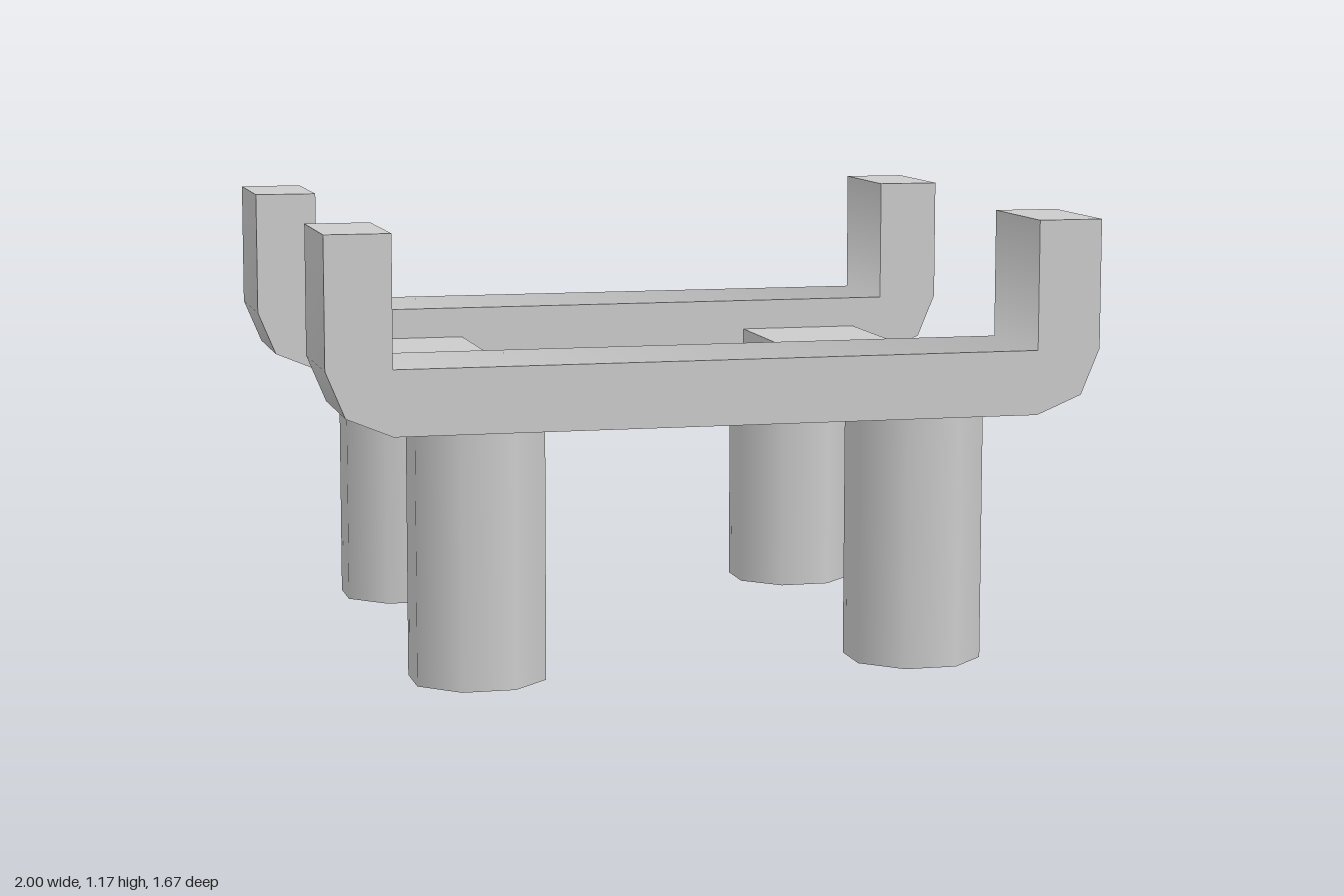
import * as THREE from 'three';
import { toCreasedNormals } from 'three/addons/utils/BufferGeometryUtils.js';

const U = 1 / 6; // basic module: thickness of the beams

// U-shaped profile with rounded lower corners, extruded along z
function beamGeometry() {
  const c = U * Math.SQRT1_2;
  const half = [[0.833, 4 * U], [0.833 + c, 5 * U - c], [1, 5 * U], [1, 7 * U], [0.833, 7 * U], [0.833, 5 * U]];
  const mirrored = half.map(([x, y]) => [-x, y]).reverse();
  const shape = new THREE.Shape([...half, ...mirrored].map(([x, y]) => new THREE.Vector2(x, y)));
  const extruded = new THREE.ExtrudeGeometry(shape, { depth: 2 * U, bevelEnabled: false });
  const geometry = toCreasedNormals(extruded.translate(0, 0, -U), Math.PI / 3);

  // Shade the inner corners smoothly as well
  const p = geometry.attributes.position, n = geometry.attributes.normal;
  for (let i = 0; i < p.count; i++) {
    const inner = Math.abs(Math.abs(p.getX(i)) - 0.833) < 0.001 && Math.abs(p.getY(i) - 5 * U) < 0.001;
    if (inner && Math.abs(n.getZ(i)) < 0.5) {
      n.setXYZ(i, -Math.sign(p.getX(i)) * Math.SQRT1_2, Math.SQRT1_2, 0);
    }
  }
  return geometry;
}

export function createModel() {
  const group = new THREE.Group();
  const material = new THREE.MeshStandardMaterial({ color: 0xcccccc });

  const add = (name, geometry, x, y, z) => {
    const mesh = new THREE.Mesh(geometry, material);
    mesh.name = name;
    mesh.position.set(x, y, z);
    group.add(mesh);
  };

  const beam = beamGeometry();
  const crossbar = new THREE.BoxGeometry(2 * U, U / 2, 1);
  // Eight-sided leg with flats facing the axes
  const leg = new THREE.CylinderGeometry(U / Math.cos(Math.PI / 8), U / Math.cos(Math.PI / 8), 4 * U, 8, 1, false, Math.PI / 8);

  // Front and back beams
  add('frontBeam', beam, 0, 0, 4 * U);
  add('backBeam', beam, 0, 0, -4 * U);

  // Crossbars and legs on both sides
  for (const [side, sx] of [['left', 1], ['right', -1]]) {
    add(`${side}Crossbar`, crossbar, sx * 3.5 * U, 4.25 * U, 0);
    for (const [end, sz] of [['Front', 1], ['Back', -1]]) {
      add(`${side}${end}Leg`, leg, sx * 3.5 * U, 2 * U, sz * 3.5 * U);
    }
  }
  return group;
}
